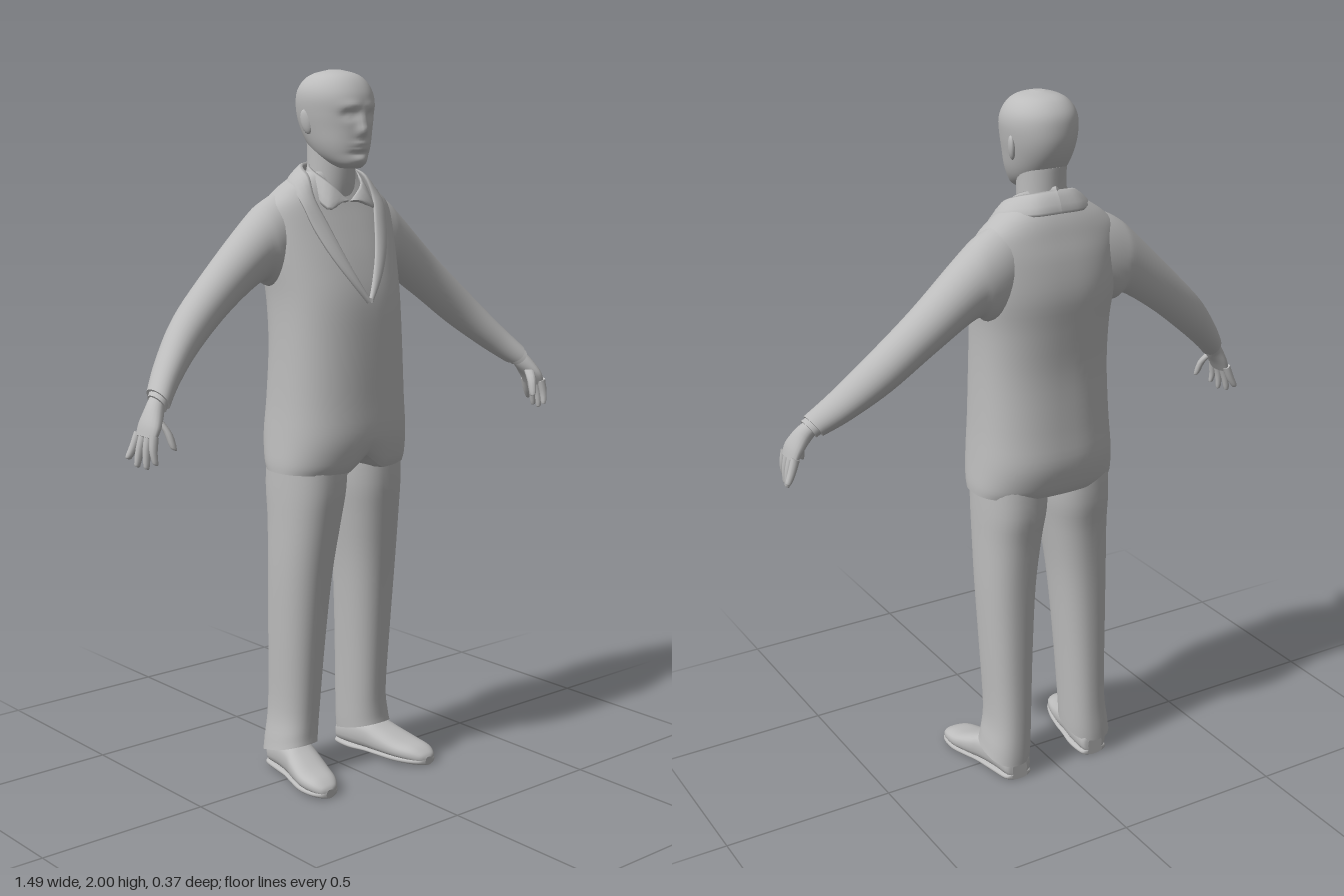
import * as THREE from 'three';

const cloth = new THREE.MeshStandardMaterial({ color: 0xbcbcbc, side: THREE.DoubleSide });
cloth.name = 'plainGrey';

const bump = (d, w) => Math.exp(-(d * d) / (w * w));
const spow = (v, e) => Math.sign(v) * Math.abs(v) ** e;

// Smoothly interpolate a table of section rows
function refine(rows, steps) {
  const out = [];
  const at = i => rows[Math.max(0, Math.min(rows.length - 1, i))];
  for (let i = 0; i < rows.length - 1; i++) {
    for (let s = 0; s < steps; s++) {
      const t = s / steps;
      out.push(rows[i].map((b, k) => {
        const a = at(i - 1)[k], c = at(i + 1)[k], d = at(i + 2)[k];
        return b + 0.5 * t * (c - a + t * (2 * a - 5 * b + 4 * c - d + t * (3 * (b - c) + d - a)));
      }));
    }
  }
  out.push(rows[rows.length - 1]);
  return out;
}

// Closed loft: point(row, angle) gives each ring; ends are capped, winding made outward
function loft(name, rows, steps, sides, point) {
  const rings = refine(rows, steps).map(r =>
    Array.from({ length: sides }, (_, j) => point(r, (j / sides) * Math.PI * 2)));
  const pos = rings.flat(2), idx = [];
  for (let i = 0; i < rings.length - 1; i++) {
    for (let j = 0; j < sides; j++) {
      const a = i * sides + j, b = i * sides + (j + 1) % sides;
      idx.push(a, b, a + sides, b, b + sides, a + sides);
    }
  }
  [rings[0], rings[rings.length - 1]].forEach((ring, end) => {
    const base = pos.length / 3;
    ring.forEach(p => pos.push(...p));
    pos.push(...[0, 1, 2].map(k => ring.reduce((s, p) => s + p[k], 0) / sides));
    for (let j = 0; j < sides; j++) {
      const a = base + j, b = base + (j + 1) % sides;
      idx.push(base + sides, ...(end ? [a, b] : [b, a]));
    }
  });
  let volume = 0;
  const v = [0, 1, 2].map(() => new THREE.Vector3());
  for (let i = 0; i < idx.length; i += 3) {
    v.forEach((p, k) => p.fromArray(pos, idx[i + k] * 3));
    volume += v[0].dot(v[1].clone().cross(v[2]));
  }
  if (volume < 0) idx.reverse();
  const g = new THREE.BufferGeometry();
  g.setAttribute('position', new THREE.Float32BufferAttribute(pos, 3));
  g.setIndex(idx);
  g.computeVertexNormals();
  const mesh = new THREE.Mesh(g, cloth);
  mesh.name = name;
  return mesh;
}

// Horizontal section from [y, xMin, xMax, zFront, zBack]
function oval([y, x0, x1, zf, zb], a, p = 2) {
  return [(x0 + x1) / 2 + (x1 - x0) / 2 * spow(Math.cos(a), 2 / p), y,
    (zf + zb) / 2 + (zf - zb) / 2 * spow(Math.sin(a), 2 / p)];
}

// Jacket body: y, half width, front z, back z
const body = [
  [0.90, 0.213, 0.12, -0.152], [0.93, 0.213, 0.135, -0.168], [1.0, 0.207, 0.15, -0.183],
  [1.1, 0.2, 0.147, -0.175], [1.25, 0.195, 0.14, -0.166], [1.38, 0.196, 0.128, -0.173],
  [1.48, 0.206, 0.1, -0.18], [1.57, 0.213, 0.065, -0.168], [1.63, 0.207, 0.04, -0.152],
  [1.67, 0.17, 0.025, -0.14], [1.70, 0.127, 0.015, -0.126], [1.725, 0.085, 0.01, -0.11],
];
const BODY_POWER = 2.4;

// Front surface of the jacket at x, y
function frontZ(x, y) {
  let i = 0;
  while (i < body.length - 2 && body[i + 1][0] < y) i++;
  const t = (y - body[i][0]) / (body[i + 1][0] - body[i][0]);
  const [, rx, zf, zb] = body[i].map((b, k) => b + (body[i + 1][k] - b) * t);
  const q = Math.max(0, 1 - Math.abs(x / rx) ** BODY_POWER) ** (1 / BODY_POWER);
  return (zf + zb) / 2 + (zf - zb) / 2 * q;
}

// Padded band between an inner and an outer edge: rows [inner xyz, outer xyz]
function band(name, rows, s, thick) {
  return loft(name, rows, 4, 10, (r, a) => {
    const t = (1 - Math.cos(a)) / 2;
    const p = [0, 1, 2].map(k => r[k] + (r[k + 3] - r[k]) * t);
    const n = new THREE.Vector3(p[0], 0.05, p[2] + 0.04).normalize().multiplyScalar(Math.sin(a) * thick);
    return [s * (p[0] + n.x), p[1] + n.y, p[2] + n.z];
  });
}

function makeHead() {
  const head = new THREE.Group();
  head.name = 'head';
  const rows = [
    [1.735, 0.026, 0.078, 0.02], [1.747, 0.046, 0.09, -0.02], [1.77, 0.064, 0.094, -0.065],
    [1.80, 0.077, 0.098, -0.095], [1.84, 0.087, 0.1, -0.12], [1.88, 0.095, 0.102, -0.132],
    [1.92, 0.099, 0.1, -0.132], [1.95, 0.093, 0.088, -0.124], [1.975, 0.076, 0.068, -0.104],
    [1.99, 0.052, 0.042, -0.078], [2.0, 0.014, 0.0, -0.035],
  ].map(([y, w, f, b]) => [y, -w, w, f, b]);
  // Skull with the face shaped by smooth bumps and hollows
  head.add(loft('skull', rows, 6, 72, (r, a) => {
    const p = oval(r, a, 2.1), [x, y] = p, ax = Math.abs(x);
    if (Math.sin(a) > 0) {
      p[2] += 0.014 * bump(x, 0.017) * bump(y - 1.835, 0.016)
        + 0.01 * bump(x, 0.013) * bump(y - 1.86, 0.025)
        + 0.005 * bump(ax - 0.035, 0.028) * bump(y - 1.902, 0.012)
        - 0.011 * bump(ax - 0.036, 0.02) * bump(y - 1.878, 0.013)
        + 0.005 * bump(ax - 0.036, 0.011) * bump(y - 1.876, 0.007)
        + 0.008 * bump(x, 0.024) * bump(y - 1.802, 0.006)
        + 0.007 * bump(x, 0.02) * bump(y - 1.788, 0.005)
        - 0.005 * bump(x, 0.03) * bump(y - 1.775, 0.006)
        + 0.006 * bump(x, 0.025) * bump(y - 1.757, 0.01);
    }
    return p;
  }));
  head.add(loft('neck', [
    [1.60, -0.075, 0.075, 0.02, -0.11], [1.68, -0.068, 0.068, 0.033, -0.102],
    [1.74, -0.066, 0.066, 0.038, -0.1], [1.81, -0.066, 0.066, 0.04, -0.103],
  ], 4, 32, (r, a) => oval(r, a)));
  for (const s of [1, -1]) {
    const ear = new THREE.Mesh(new THREE.SphereGeometry(1, 16, 12), cloth);
    ear.name = 'ear';
    ear.scale.set(0.009, 0.034, 0.018);
    ear.position.set(s * 0.09, 1.86, -0.03);
    ear.rotation.set(-0.2, s * -0.25, s * -0.15);
    head.add(ear);
  }
  return head;
}

function makeJacket() {
  const jacket = new THREE.Group();
  jacket.name = 'jacket';
  // Body, with a small cutaway at the centre of the front hem
  const rows = body.map(([y, w, f, b]) => [y, -w, w, f, b]);
  jacket.add(loft('jacketBody', rows, 4, 80, (r, a) => {
    const p = oval(r, a, BODY_POWER);
    if (Math.sin(a) > 0 && p[1] < 1) {
      p[1] += 0.045 * Math.max(0, 1 - Math.abs(p[0]) / 0.06) * (1 - p[1]) / 0.1;
    }
    return p;
  }));
  for (const s of [1, -1]) {
    // Collar round the nape running into the lapel
    const edge = (x, y) => [x, y, frontZ(x, y) + 0.003];
    jacket.add(band('lapel', [
      [0, 1.752, -0.103, 0, 1.695, -0.134], [0.05, 1.748, -0.091, 0.07, 1.693, -0.126],
      [0.086, 1.735, -0.05, 0.125, 1.688, -0.08], [0.1, 1.712, -0.005, 0.143, 1.675, -0.03],
      [...edge(0.104, 1.655), ...edge(0.146, 1.64)], [...edge(0.085, 1.59), ...edge(0.132, 1.575)],
      [...edge(0.058, 1.51), ...edge(0.1, 1.5)], [...edge(0.03, 1.445), ...edge(0.055, 1.43)],
      [...edge(0.002, 1.385), ...edge(0.008, 1.37)],
    ], s, 0.009));
    // Shirt collar with a pointed wing
    jacket.add(band('shirtCollar', [
      [0, 1.762, -0.1, 0, 1.72, -0.114], [0.072, 1.74, -0.04, 0.08, 1.69, -0.04],
      [0.055, 1.695, 0.03, 0.085, 1.625, 0.052], [0.003, 1.645, 0.046, 0.03, 1.645, 0.054],
    ], s, 0.007));
  }
  return jacket;
}

function makeArm(s) {
  const arm = new THREE.Group();
  arm.name = s > 0 ? 'leftArm' : 'rightArm';
  // Sections: top x, top y, bottom x, bottom y, centre z, half depth
  const section = ([tx, ty, bx, by, z, d], a) => {
    const u = Math.cos(a) / 2;
    return [s * ((tx + bx) / 2 + (tx - bx) * u), (ty + by) / 2 + (ty - by) * u, z + d * Math.sin(a)];
  };
  arm.add(loft('sleeve', [
    [0.06, 1.69, 0.08, 1.46, -0.068, 0.06], [0.14, 1.678, 0.14, 1.43, -0.068, 0.076],
    [0.21, 1.647, 0.195, 1.415, -0.068, 0.08],
    [0.265, 1.602, 0.235, 1.428, -0.068, 0.074], [0.4, 1.475, 0.355, 1.352, -0.06, 0.063],
    [0.52, 1.362, 0.475, 1.26, -0.036, 0.058], [0.61, 1.262, 0.572, 1.185, 0.01, 0.051],
    [0.67, 1.192, 0.632, 1.138, 0.055, 0.045],
  ], 5, 32, section));
  arm.add(loft('shirtCuff', [
    [0.658, 1.195, 0.63, 1.15, 0.05, 0.037], [0.677, 1.178, 0.645, 1.132, 0.064, 0.036],
  ], 2, 24, section));
  arm.add(loft('palm', [
    [0.667, 1.18, 0.642, 1.15, 0.057, 0.026], [0.692, 1.155, 0.656, 1.125, 0.072, 0.032],
    [0.715, 1.115, 0.679, 1.095, 0.083, 0.043], [0.724, 1.083, 0.698, 1.068, 0.085, 0.042],
  ], 4, 20, section));
  // Tapered digit through three points
  const digit = (name, a, b, c, r) => {
    const rows = [[...a, r], [...b, r * 0.9], [...c, r * 0.65], [...c.map((v, i) => v + (c[i] - b[i]) * 0.12), r * 0.15]];
    arm.add(loft(name, rows, 3, 10, ([x, y, z, q], t) =>
      [s * (x + q * 0.9 * Math.cos(t)), y + q * 0.4 * Math.cos(t), z + q * Math.sin(t)]));
  };
  [[0.05, 0.042, 1.022], [0.074, 0.07, 1.006], [0.097, 0.1, 1.004], [0.119, 0.128, 1.016]].forEach(([z0, z1, y], i) =>
    digit('finger', [0.709, 1.085, z0], [0.724 - i * 0.003, 1.047, (z0 + z1) / 2], [0.737 - i * 0.008, y, z1], 0.0125));
  digit('thumb', [0.68, 1.125, 0.09], [0.667, 1.09, 0.118], [0.66, 1.05, 0.132], 0.015);
  return arm;
}

function makeLeg(s) {
  const leg = new THREE.Group();
  leg.name = s > 0 ? 'leftLeg' : 'rightLeg';
  // Trouser leg, hem lower at the heel
  leg.add(loft('trouserLeg', [
    [0.97, 0.0, 0.198, 0.105, -0.145], [0.85, 0.006, 0.2, 0.103, -0.148], [0.75, 0.02, 0.2, 0.09, -0.135],
    [0.6, 0.04, 0.2, 0.07, -0.128], [0.4, 0.055, 0.195, 0.05, -0.13], [0.2, 0.066, 0.19, 0.034, -0.135],
    [0.11, 0.07, 0.202, 0.032, -0.139], [0.075, 0.072, 0.208, 0.034, -0.139],
  ], 4, 36, (r, a) => {
    const [x, y, z] = oval(r, a, 2.3);
    const drop = Math.max(0, 0.2 - y) / 0.125;
    return [s * x, y + 0.025 * Math.sin(a) * drop, z];
  }));
  // Shoe sections along z: z, centre x, half width, bottom, top
  const section = ([z, x, w, y0, y1], a) =>
    [s * (x + w * spow(Math.cos(a), 0.8)), (y0 + y1) / 2 + (y1 - y0) / 2 * spow(Math.sin(a), 0.8), z];
  const plan = [[-0.132, 0.132, 0.024, 0.06], [-0.12, 0.133, 0.042, 0.08], [-0.06, 0.138, 0.05, 0.1],
    [0.0, 0.15, 0.053, 0.098], [0.04, 0.16, 0.057, 0.082], [0.1, 0.175, 0.057, 0.06],
    [0.15, 0.184, 0.047, 0.05], [0.178, 0.188, 0.03, 0.036], [0.187, 0.189, 0.012, 0.025]];
  leg.add(loft('shoe', plan.map(([z, x, w, h]) => [z, x, w, 0.006, h]), 4, 28, section));
  leg.add(loft('sole', plan.map(([z, x, w], i) =>
    [z, x, w + 0.002, i > 2 && i < 5 ? 0.006 : 0, 0.022]), 4, 20, section));
  return leg;
}

export function createModel() {
  const man = new THREE.Group();
  man.name = 'manInSuit';
  man.add(makeHead(), makeJacket());
  for (const s of [1, -1]) man.add(makeArm(s), makeLeg(s));
  return man;
}
